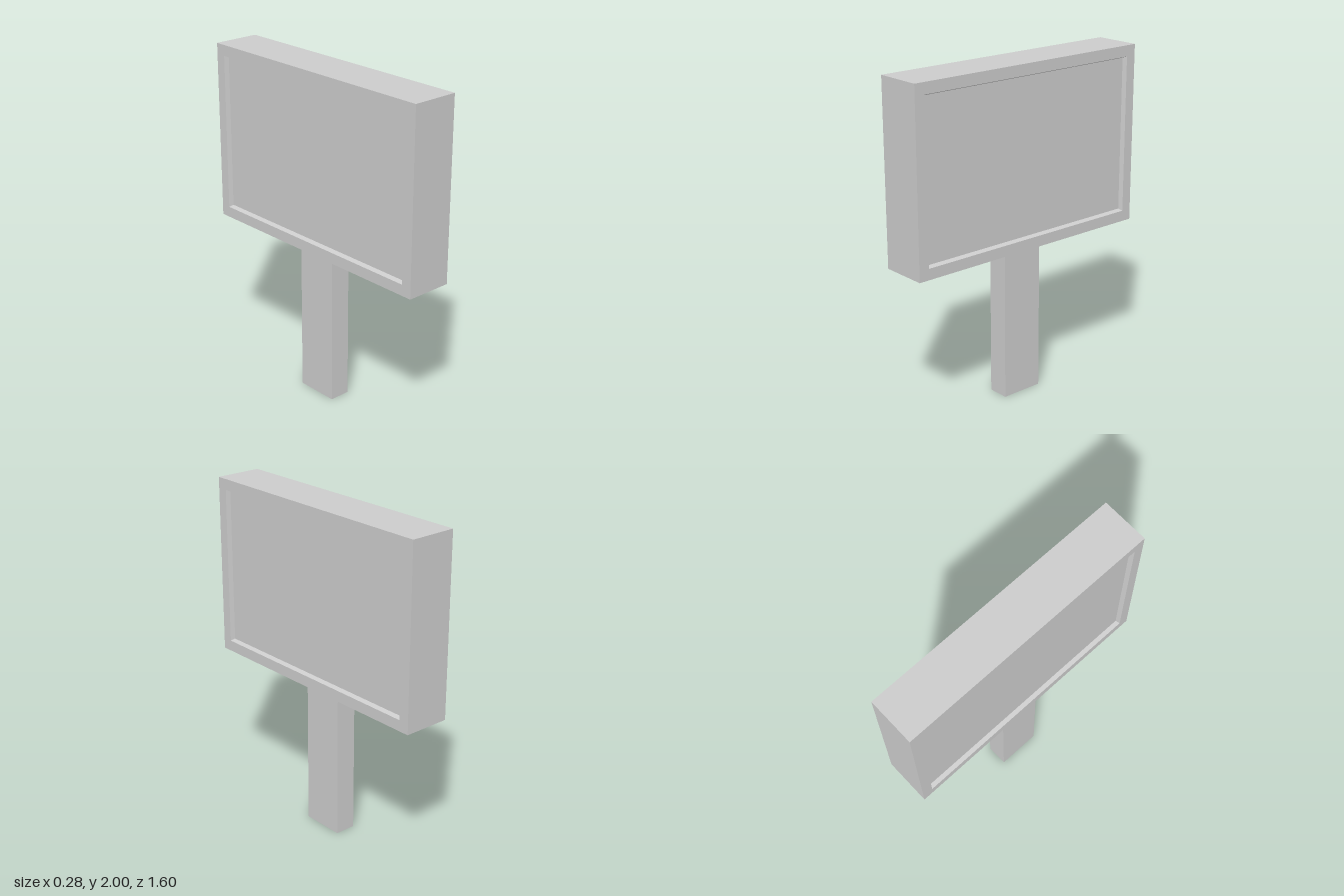
import * as THREE from 'three';

const material = new THREE.MeshStandardMaterial({ color: 0xcccccc, flatShading: true });

function addMesh(group, name, geometry, x, y, z) {
  const mesh = new THREE.Mesh(geometry, material);
  mesh.name = name;
  mesh.position.set(x, y, z);
  group.add(mesh);
}

// Joins successive rectangles [x, half width, half height] with flat quads
function loftRectangles(sections) {
  const corners = [[1, -1], [-1, -1], [-1, 1], [1, 1]];
  const point = ([x, w, h], i) => [x, corners[i % 4][1] * h, corners[i % 4][0] * w];
  const positions = [];
  for (let s = 0; s < sections.length - 1; s++) {
    for (let i = 0; i < 4; i++) {
      const a = point(sections[s], i), b = point(sections[s + 1], i);
      const c = point(sections[s + 1], i + 1), d = point(sections[s], i + 1);
      positions.push(...a, ...b, ...c, ...a, ...c, ...d);
    }
  }
  const geometry = new THREE.BufferGeometry();
  geometry.setAttribute('position', new THREE.Float32BufferAttribute(positions, 3));
  geometry.computeVertexNormals();
  return geometry;
}

export function createModel() {
  const group = new THREE.Group();
  group.name = 'billboard';

  const centreY = 1.465;
  const half = 0.141;
  const floorX = half - 0.025;
  const floor = [0.725, 0.46], rim = [0.735, 0.47], outer = [0.798, 0.535];

  // Cabinet with a bevelled recess on both broad sides
  addMesh(group, 'cabinet', loftRectangles([
    [floorX, ...floor], [half, ...rim], [half, ...outer],
    [-half, ...outer], [-half, ...rim], [-floorX, ...floor],
  ]), 0, centreY, 0);

  // Recessed display panels
  for (const side of [1, -1]) {
    const panel = new THREE.PlaneGeometry(floor[0] * 2, floor[1] * 2);
    panel.rotateY(side * Math.PI / 2);
    addMesh(group, side > 0 ? 'leftPanel' : 'rightPanel', panel, side * floorX, centreY, 0);
  }

  // Post, set slightly off centre
  addMesh(group, 'post', new THREE.BoxGeometry(0.128, 0.93, 0.264), -0.016, 0.465, -0.009);

  return group;
}
